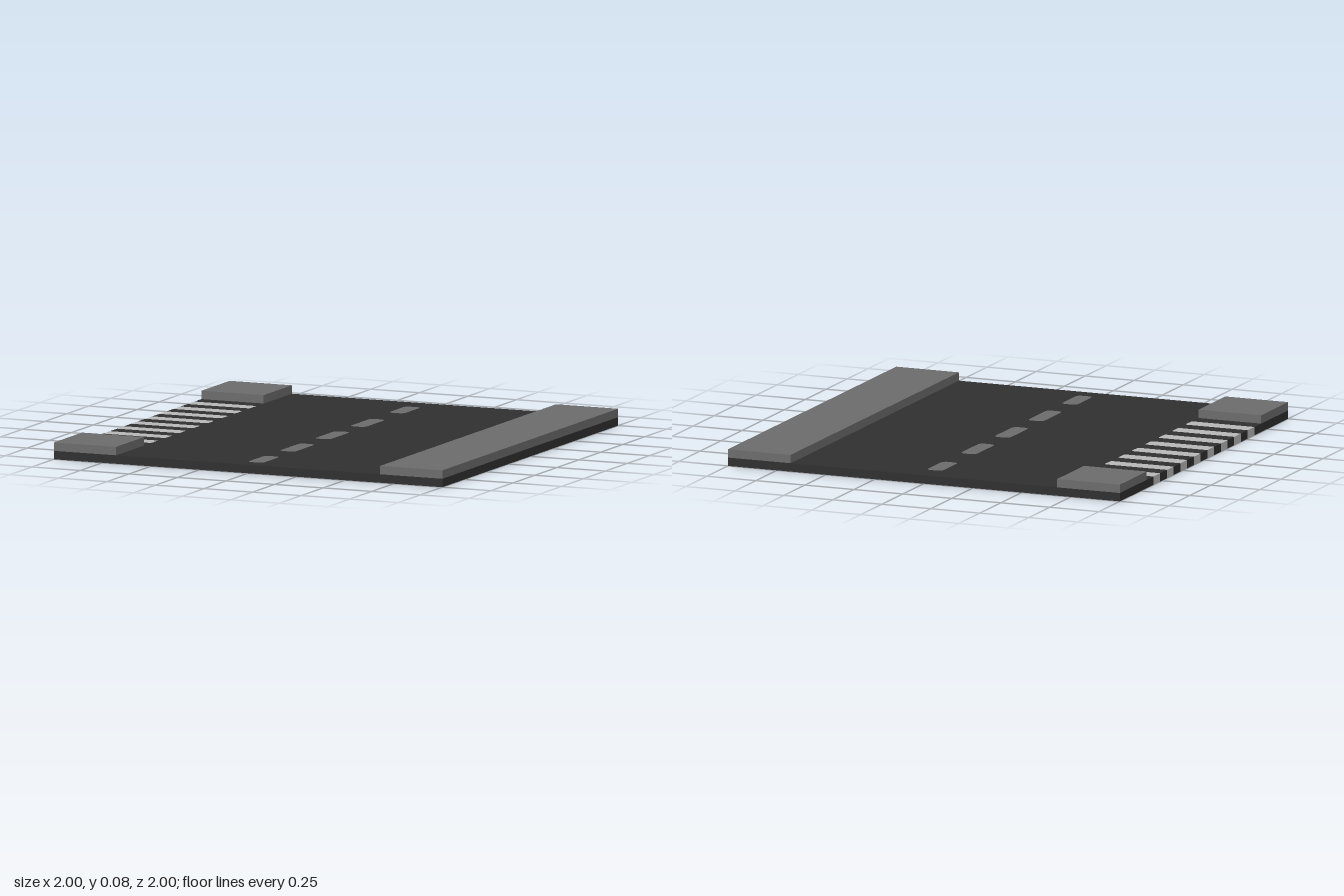
import * as THREE from 'three';

const SLAB = 0.04;    // thickness of the road slab
const KERB_X = 0.68;  // inner edge of the pavements
const STRIPE_HALF = 0.04;

const asphalt = new THREE.MeshStandardMaterial({ name: 'asphalt', color: 0x303030 });
const concrete = new THREE.MeshStandardMaterial({ name: 'concrete', color: 0x6c6c6c });
const paint = new THREE.MeshStandardMaterial({ name: 'crossingPaint', color: 0xb8b8b8 });

// Adds the inner outline of a crossing stripe, running from its +z side to its -z side
function traceStripe(path, z) {
  const r = 0.012, h = STRIPE_HALF, x = -KERB_X;
  path.lineTo(-1, z + h);
  path.lineTo(x - r, z + h);
  path.quadraticCurveTo(x, z + h, x, z + h - r);
  path.lineTo(x, z - h + r);
  path.quadraticCurveTo(x, z - h, x - r, z - h);
  path.lineTo(-1, z - h);
}

// Rounded centre line dash between two z positions
function dashShape(z0, z1) {
  const r = 0.028, w = 0.04;
  const s = new THREE.Shape();
  s.moveTo(-w + r, z0);
  s.lineTo(w - r, z0);
  s.quadraticCurveTo(w, z0, w, z0 + r);
  s.lineTo(w, z1 - r);
  s.quadraticCurveTo(w, z1, w - r, z1);
  s.lineTo(-w + r, z1);
  s.quadraticCurveTo(-w, z1, -w, z1 - r);
  s.lineTo(-w, z0 + r);
  s.quadraticCurveTo(-w, z0, -w + r, z0);
  return s;
}

// Lays a shape flat (shape y becomes z) with the slab's thickness
function flatMesh(name, shape, material) {
  const geo = new THREE.ExtrudeGeometry(shape, { depth: SLAB, bevelEnabled: false, curveSegments: 4 });
  geo.rotateX(Math.PI / 2).translate(0, SLAB, 0);
  const mesh = new THREE.Mesh(geo, material);
  mesh.name = name;
  return mesh;
}

function pavement(name, x, z, length) {
  const width = 1 - KERB_X;
  const mesh = new THREE.Mesh(new THREE.BoxGeometry(width, 0.04, length), concrete);
  mesh.position.set(x, SLAB + 0.02, z);
  mesh.name = name;
  return mesh;
}

export function createModel() {
  const group = new THREE.Group();
  group.name = 'roadTile';

  const stripes = [0.56, 0.4, 0.24, 0.08, -0.08, -0.24, -0.4, -0.56];
  const dashes = [[-0.88, -0.68], [-0.48, -0.24], [-0.08, 0.16], [0.32, 0.56], [0.72, 0.92]]
    .map(([z0, z1]) => dashShape(z0, z1));

  // Road slab, cut out where the markings are inlaid
  const road = new THREE.Shape();
  road.moveTo(-1, -1);
  road.lineTo(1, -1);
  road.lineTo(1, 1);
  road.lineTo(-1, 1);
  stripes.forEach((z) => traceStripe(road, z));
  road.lineTo(-1, -1);
  road.holes.push(...dashes);
  group.add(flatMesh('roadSlab', road, asphalt));

  // Centre line, inlaid through the full slab
  dashes.forEach((d) => group.add(flatMesh('centreDash', d, concrete)));

  // Crossing stripes on the side street
  stripes.forEach((z) => {
    const s = new THREE.Shape();
    s.moveTo(-1, z - STRIPE_HALF);
    traceStripe(s, z);
    group.add(flatMesh('crossingStripe', s, paint));
  });

  // Raised pavements
  const px = (1 + KERB_X) / 2;
  group.add(pavement('longPavement', px, 0, 2));
  group.add(pavement('frontCornerPavement', -px, px, 0.32));
  group.add(pavement('backCornerPavement', -px, -px, 0.32));

  return group;
}
